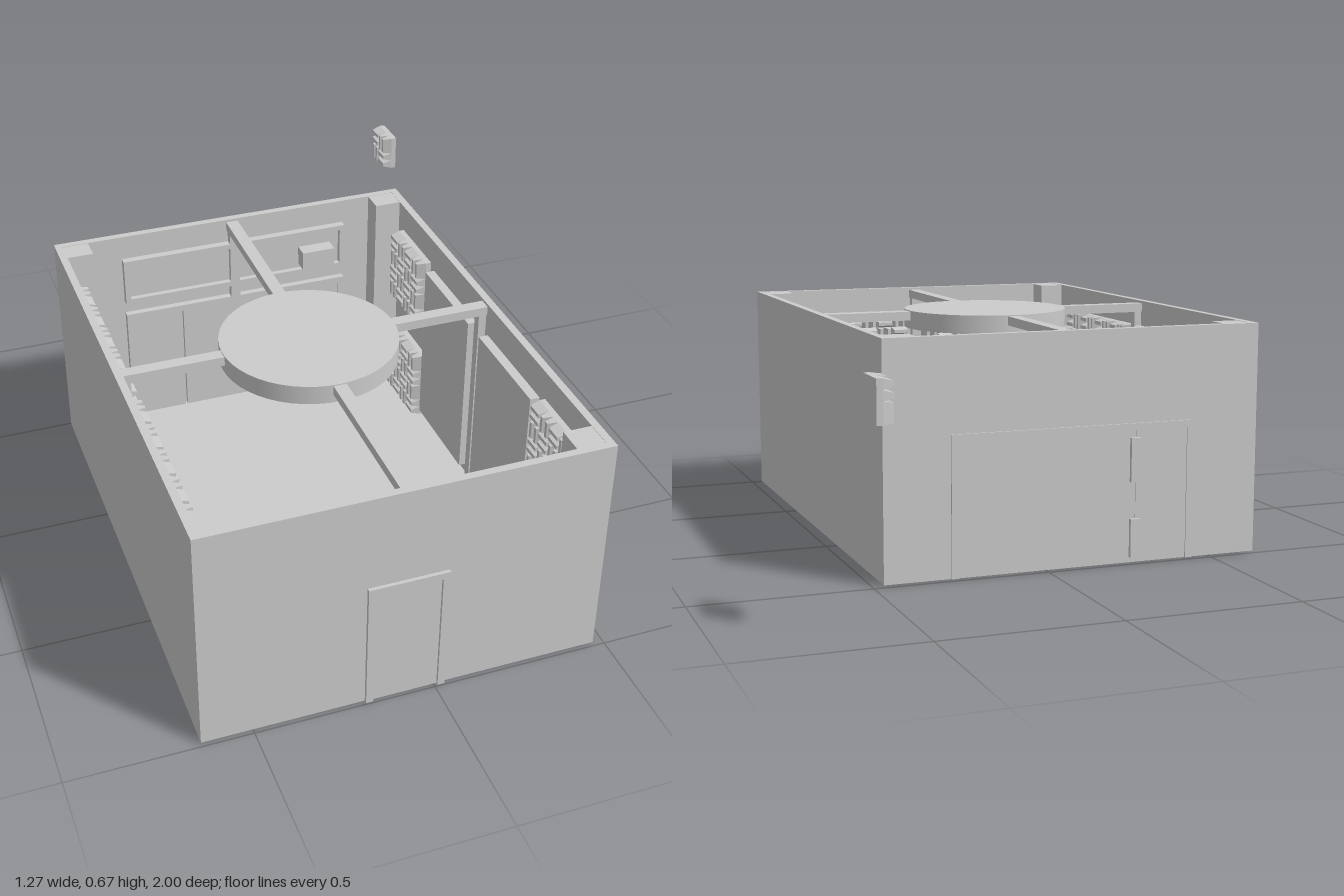
import * as THREE from 'three';
import { mergeGeometries } from 'three/addons/utils/BufferGeometryUtils.js';

const mat = new THREE.MeshStandardMaterial({ color: 0xcccccc, flatShading: true });
const smooth = new THREE.MeshStandardMaterial({ color: 0xcccccc });

// Box given by its minimum and maximum on each axis
function block(parent, name, x0, x1, y0, y1, z0, z1) {
  const mesh = new THREE.Mesh(new THREE.BoxGeometry(x1 - x0, y1 - y0, z1 - z0), mat);
  mesh.position.set((x0 + x1) / 2, (y0 + y1) / 2, (z0 + z1) / 2);
  mesh.name = name;
  parent.add(mesh);
  return mesh;
}

function disc(parent, name, radius, y0, y1) {
  const mesh = new THREE.Mesh(new THREE.CylinderGeometry(radius, radius, y1 - y0, 48), smooth);
  mesh.position.set(-0.085, (y0 + y1) / 2, 0.243);
  mesh.name = name;
  parent.add(mesh);
}

// Acoustic tile facing +z: backing plate and a 2 x 2 weave of paired tapered ridges
function tileGeometry() {
  const plate = new THREE.BoxGeometry(0.11, 0.11, 0.016).translate(0, 0, 0.008);
  const parts = [plate];
  for (let i = 0; i < 2; i++) for (let j = 0; j < 2; j++) for (const s of [-1, 1]) {
    const ridge = new THREE.BoxGeometry(0.0275, 0.055, 0.028);
    const p = ridge.attributes.position;
    for (let k = 0; k < p.count; k++) {
      if (p.getZ(k) > 0) p.setXY(k, p.getX(k) * 0.4, p.getY(k) * 0.88);
    }
    ridge.translate(s * 0.01375, 0, 0.03);
    if ((i + j) % 2) ridge.rotateZ(Math.PI / 2);
    ridge.translate((i - 0.5) * 0.055, (j - 0.5) * 0.055, 0);
    parts.push(ridge);
  }
  return mergeGeometries(parts);
}

// Rectangular border in the xy plane
function border(parent, name, x0, x1, y0, y1, z0, z1, t, hasSill) {
  block(parent, name, x0, x0 + t, y0, y1, z0, z1);
  block(parent, name, x1 - t, x1, y0, y1, z0, z1);
  block(parent, name, x0 + t, x1 - t, y1 - t, y1, z0, z1);
  if (hasSill) block(parent, name, x0 + t, x1 - t, y0, y0 + t, z0, z1);
}

export function createModel() {
  const room = new THREE.Group();
  room.name = 'room';

  // Floor and four walls, open at the top
  block(room, 'floor', -0.64, 0.47, 0.004, 0.02, -0.49, 0.99);
  block(room, 'frontWall', -0.64, 0.47, 0.004, 0.665, 0.968, 0.99);
  block(room, 'backWall', -0.64, 0.47, 0.004, 0.665, -0.49, -0.468);
  block(room, 'leftWall', 0.448, 0.47, 0.004, 0.665, -0.468, 0.968);
  block(room, 'rightWall', -0.64, -0.618, 0.004, 0.665, -0.468, 0.968);

  // Corner pillars
  for (const [x0, x1] of [[-0.618, -0.54], [0.368, 0.448]])
    for (const [z0, z1] of [[-0.468, -0.4], [0.89, 0.968]])
      block(room, 'cornerPillar', x0, x1, 0.02, 0.664, z0, z1);

  // Ceiling disc, crossed beams and wall posts under the beam ends
  disc(room, 'ceilingDisc', 0.25, 0.605, 0.66);
  disc(room, 'floorDisc', 0.285, 0, 0.028);
  block(room, 'beam', -0.104, -0.067, 0.63, 0.657, -0.468, 0.0);
  block(room, 'beam', -0.104, -0.067, 0.63, 0.657, 0.486, 0.968);
  block(room, 'beam', -0.618, -0.33, 0.63, 0.657, 0.225, 0.262);
  block(room, 'beam', 0.16, 0.448, 0.63, 0.657, 0.225, 0.262);
  block(room, 'wallPost', -0.618, -0.595, 0.02, 0.63, 0.23, 0.257);
  block(room, 'wallPost', 0.425, 0.448, 0.02, 0.63, 0.23, 0.257);
  block(room, 'wallPost', -0.1, -0.071, 0.4, 0.63, -0.468, -0.445);
  block(room, 'wallPost', -0.1, -0.071, 0.39, 0.63, 0.945, 0.968);

  // Acoustic tiles in an upper and a lower band
  const geo = tileGeometry();
  const tile = (x, y, z, turn) => {
    const mesh = new THREE.Mesh(geo, mat);
    mesh.position.set(x, y, z);
    mesh.rotation.y = turn;
    mesh.name = 'acousticTile';
    room.add(mesh);
  };
  const rows = [0.08, 0.19, 0.42, 0.53];
  for (const y of rows) {
    for (let i = 0; i < 5; i++) {
      const outer = i < 3;
      if (y === 0.42 && !outer) continue;
      tile(-0.618, y, -0.305 + i * 0.12, Math.PI / 2);
      tile(-0.618, y, 0.805 - i * 0.12, Math.PI / 2);
    }
    for (const z of [-0.305, -0.195, 0.695, 0.805]) tile(0.448, y, z, -Math.PI / 2);
    for (const x of [-0.395, -0.28, -0.165, 0.005, 0.115, 0.225]) {
      const overDoor = Math.abs(x + 0.085) < 0.13;
      if (!overDoor || y > 0.5) tile(x, y, 0.968, Math.PI);
    }
  }
  // Loose tile beside the room
  tile(0.635, 0.58, -0.945, -Math.PI / 2);

  // Smooth panels on the left and right walls
  block(room, 'wallPanel', 0.42, 0.448, 0.06, 0.57, -0.115, 0.2);
  block(room, 'wallPanel', 0.42, 0.448, 0.06, 0.57, 0.275, 0.61);
  block(room, 'wallPanel', -0.618, -0.608, 0.25, 0.46, -0.1, 0.22);
  block(room, 'wallPanel', -0.618, -0.608, 0.25, 0.46, 0.27, 0.6);

  // Front door with its surround, outside and inside
  border(room, 'doorFrame', -0.195, 0.027, 0.004, 0.388, 0.985, 1.0, 0.02, false);
  block(room, 'frontDoor', -0.175, 0.007, 0.004, 0.368, 0.966, 0.992);
  border(room, 'doorFrame', -0.195, 0.027, 0.02, 0.388, 0.955, 0.97, 0.02, false);

  // Back window board, closet panel and a small wall unit
  border(room, 'boardFrame', -0.44, 0.28, 0.44, 0.59, -0.468, -0.445, 0.016, true);
  block(room, 'board', -0.425, 0.265, 0.455, 0.575, -0.468, -0.462);
  border(room, 'backDoorFrame', -0.44, 0.28, 0.004, 0.4, -0.495, -0.448, 0.02, false);
  block(room, 'backDoor', -0.42, -0.263, 0.02, 0.38, -0.492, -0.455);
  block(room, 'backDoor', -0.257, 0.26, 0.02, 0.38, -0.492, -0.455);
  block(room, 'wallUnit', 0.13, 0.235, 0.47, 0.53, -0.462, -0.415);

  // Hinges on the outside of the back door
  for (const [y0, y1] of [[0.02, 0.13], [0.235, 0.36]])
    block(room, 'hinge', -0.275, -0.245, y0, y1, -0.503, -0.49);

  return room;
}
